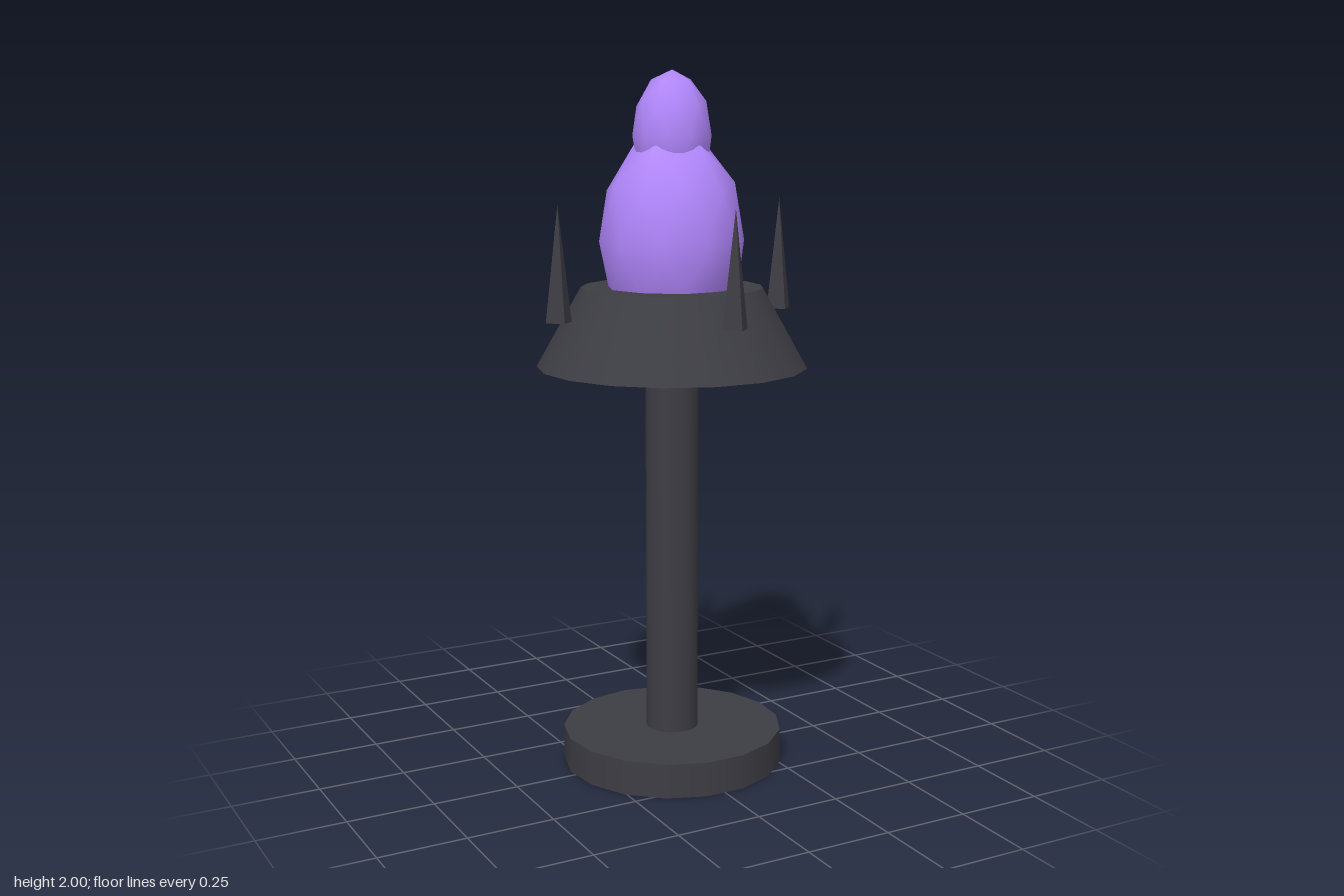
import * as THREE from 'three';

const dark = new THREE.MeshStandardMaterial({ color: 0x3d3d44 });
const darkFlat = new THREE.MeshStandardMaterial({ color: 0x3d3d44, flatShading: true });
const purple = new THREE.MeshStandardMaterial({ color: 0xb388ff });

function add(group, name, geometry, material, x, y, z) {
  const mesh = new THREE.Mesh(geometry, material);
  mesh.name = name;
  mesh.position.set(x, y, z);
  group.add(mesh);
}

// 17-sided drum between two heights, with a corner at the back
function drum(group, name, rTop, rBottom, y0, y1) {
  const geometry = new THREE.CylinderGeometry(rTop, rBottom, y1 - y0, 17, 1, false, Math.PI);
  add(group, name, geometry, dark, 0, (y0 + y1) / 2, 0);
}

// Stretched icosphere with a corner at its top
function flame(group, name, radius, halfHeight, y) {
  const geometry = new THREE.IcosahedronGeometry(1, 1);
  geometry.rotateX(-Math.atan((1 + Math.sqrt(5)) / 2));
  geometry.rotateY(Math.PI / 2);
  geometry.scale(radius, halfHeight, radius);
  add(group, name, geometry, purple, 0, y, 0);
}

export function createModel() {
  const model = new THREE.Group();
  model.name = 'torchStand';

  // Stand
  drum(model, 'base', 0.32, 0.32, 0, 0.1);
  drum(model, 'column', 0.076, 0.076, 0.1, 1.18);
  drum(model, 'bowl', 0.258, 0.385, 1.175, 1.4);

  // Flame
  flame(model, 'lowerFlame', 0.207, 0.31, 1.53);
  flame(model, 'upperFlame', 0.112, 0.18, 1.82);

  // Four spikes around the bowl
  for (let i = 0; i < 4; i++) {
    const a = (i * Math.PI) / 2;
    const spike = new THREE.ConeGeometry(0.039, 0.32, 4);
    add(model, 'spike', spike, darkFlat, 0.352 * Math.sin(a), 1.48, 0.352 * Math.cos(a));
  }
  return model;
}
